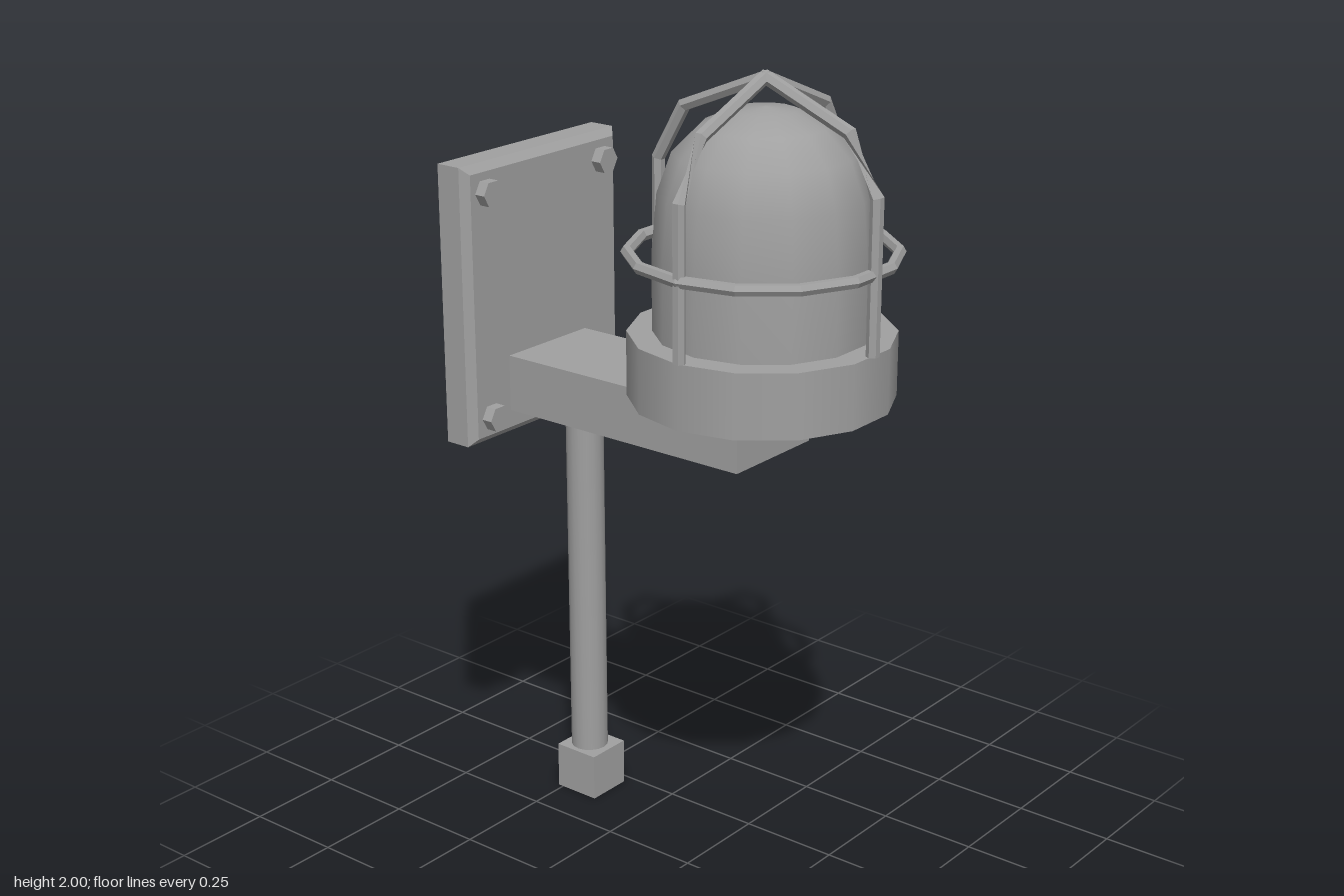
import * as THREE from 'three';

const grey = new THREE.MeshStandardMaterial({ color: 0xa0a0a0 });
grey.name = 'grey metal';

function flat(geometry) {
  const g = geometry.toNonIndexed();
  g.computeVertexNormals();
  return g;
}

function add(parent, name, geometry, x = 0, y = 0, z = 0) {
  const mesh = new THREE.Mesh(geometry, grey);
  mesh.name = name;
  mesh.position.set(x, y, z);
  parent.add(mesh);
  return mesh;
}

// Bends a thin hexagonal bar along a mitred path in the xy plane;
// the bar makes a half twist in its second segment.
function cageArch() {
  const path = [[-0.293, 1.42], [-0.293, 1.765], [-0.22, 1.892], [0, 1.982],
    [0.22, 1.892], [0.293, 1.765], [0.293, 1.42]].map(p => new THREE.Vector2(...p));
  const last = path.length - 1;
  const r = 0.015;
  const g = new THREE.CylinderGeometry(r, r, last, 6, last, true);
  const pos = g.attributes.position;
  for (let i = 0; i < pos.count; i++) {
    const j = Math.round(pos.getY(i) + last / 2);
    const into = path[Math.max(j, 1)].clone().sub(path[Math.max(j, 1) - 1]).normalize();
    const k = Math.min(j, last - 1);
    const out = path[k + 1].clone().sub(path[k]).normalize();
    const dir = into.clone().add(out).normalize();
    const mitre = 1 / dir.dot(out);
    const turn = j < 2 ? -1 : 1;
    const side = pos.getX(i) * turn * mitre;
    pos.setXYZ(i, path[j].x + dir.y * side, path[j].y - dir.x * side, pos.getZ(i) * turn);
  }
  return flat(g);
}

export function createModel() {
  const model = new THREE.Group();
  model.name = 'wallLamp';

  // Lamp: round base, glass dome and wire cage
  const lamp = new THREE.Group();
  lamp.name = 'lamp';
  lamp.position.z = 0.21;
  model.add(lamp);
  add(lamp, 'lampBase', new THREE.CylinderGeometry(0.3, 0.3, 0.15, 14).rotateY(Math.PI / 2), 0, 1.345);
  const profile = [[0.243, 1.42], [0.243, 1.6], [0.232, 1.73], [0.2, 1.82],
    [0.14, 1.88], [0.07, 1.912], [0, 1.92]].map(p => new THREE.Vector2(...p));
  add(lamp, 'dome', new THREE.LatheGeometry(profile, 14).rotateY(Math.PI / 2));
  const arch = cageArch();
  for (let i = 0; i < 2; i++) add(lamp, 'cageArch', arch).rotation.y = i * Math.PI / 2;
  add(lamp, 'cageRing', flat(new THREE.TorusGeometry(0.297, 0.014, 6, 14).rotateX(Math.PI / 2)), 0, 1.6);

  // Bracket arm
  add(model, 'arm', new THREE.BoxGeometry(0.27, 0.135, 0.675), 0, 1.1975, -0.0925);

  // Wall plate with chamfered edges
  const w = 0.247, h = 0.3145;
  const outline = new THREE.Shape([[-w, -h], [w, -h], [w, h], [-w, h]].map(p => new THREE.Vector2(...p)));
  add(model, 'wallPlate', new THREE.ExtrudeGeometry(outline, {
    depth: 0.064, bevelEnabled: true, bevelSegments: 1, bevelSize: 0.018, bevelThickness: 0.018,
  }), 0, 1.4025, -0.507);

  // Hexagonal bolts at the plate corners
  const boltShape = flat(new THREE.CylinderGeometry(0.032, 0.032, 0.03, 6).rotateY(Math.PI / 2).rotateX(Math.PI / 2));
  for (const x of [-0.2, 0.2]) {
    for (const y of [1.133, 1.67]) add(model, 'bolt', boltShape, x, y, -0.413);
  }

  // Conduit with a junction box and its round back cap
  add(model, 'conduit', new THREE.CylinderGeometry(0.047, 0.047, 0.97, 16), 0.165, 0.595, -0.457);
  add(model, 'junctionBox', new THREE.BoxGeometry(0.12, 0.12, 0.122), 0.165, 0.06, -0.453);
  add(model, 'backCap', new THREE.CylinderGeometry(0.045, 0.045, 0.01, 16).rotateX(Math.PI / 2), 0.165, 0.065, -0.517);

  return model;
}
